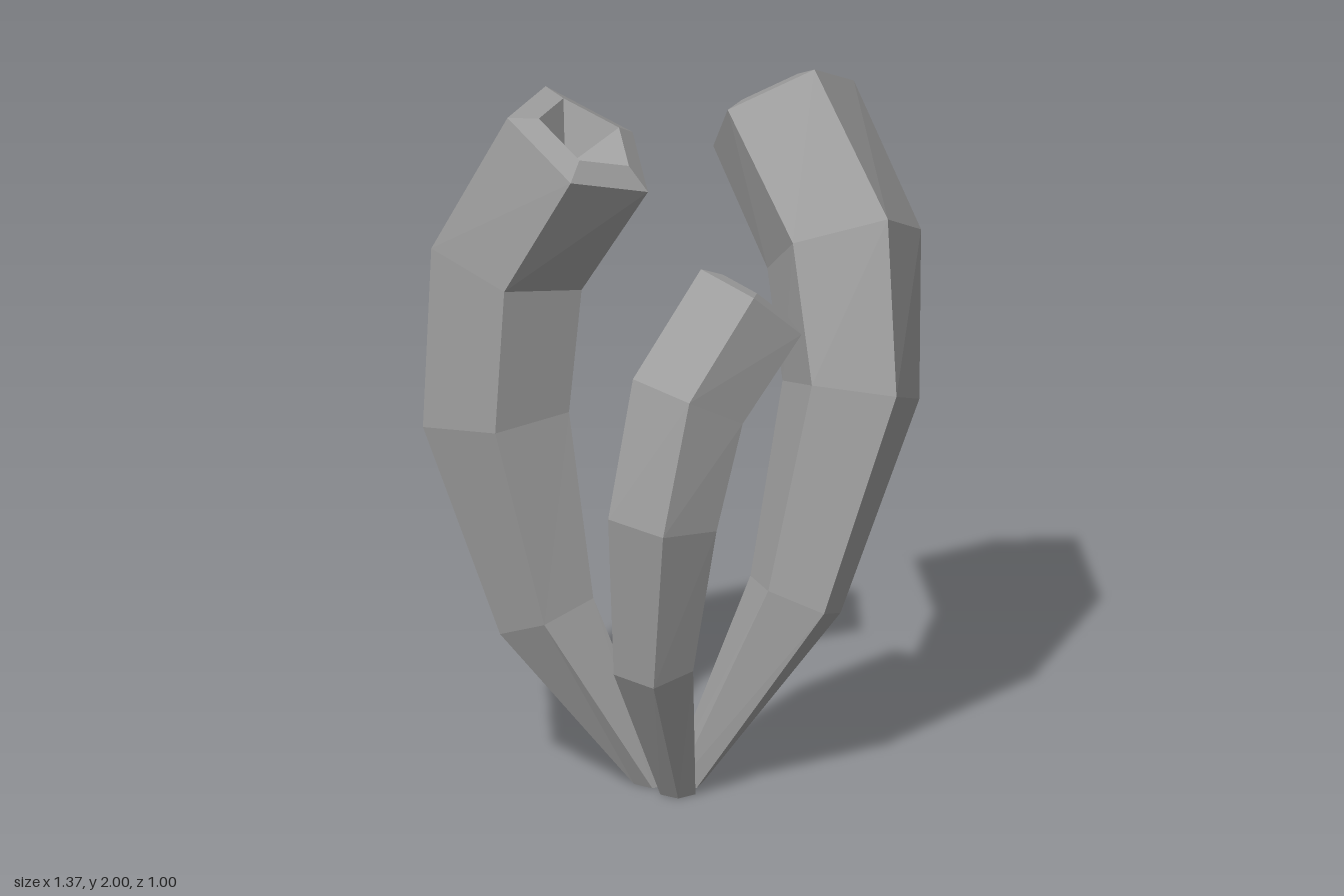
import * as THREE from 'three';

const SIDES = 5;

// Each ring is [x, y, z, radius], from root to mouth.
// ridge: direction of the outer edge that runs along the back of the tube.
const TUBES = [
  {
    name: 'leftTube', ridge: [0, 0, 1],
    rings: [[-0.12, 0, 0.135, 0.053], [0.17, 0.535, 0.263, 0.145], [0.385, 1.1, 0.235, 0.205],
      [0.46, 1.48, 0.088, 0.235], [0.46, 1.804, -0.218, 0.23]],
  },
  {
    name: 'rightBackTube', ridge: [0, 0, -1],
    rings: [[-0.19, 0, 0.072, 0.055], [-0.393, 0.485, -0.152, 0.15], [-0.48, 1.06, -0.28, 0.218],
      [-0.445, 1.515, -0.275, 0.232], [-0.332, 1.896, -0.077, 0.238]],
  },
  {
    name: 'smallFrontTube', ridge: [-1, 0, -0.3],
    rings: [[-0.185, 0, 0.188, 0.052], [-0.345, 0.44, 0.293, 0.118], [-0.357, 0.895, 0.352, 0.162],
      [-0.265, 1.23, 0.345, 0.176], [-0.05, 1.478, 0.35, 0.178]],
  },
];

function tubeGeometry({ rings, ridge }) {
  const centres = rings.map(([x, y, z]) => new THREE.Vector3(x, y, z));
  const hint = new THREE.Vector3(...ridge);
  const last = rings.length - 1;
  const positions = [];
  const index = [];

  const addRing = (centre, normal, radius) => {
    const u = hint.clone().projectOnPlane(normal).normalize();
    const w = normal.clone().cross(u);
    for (let i = 0; i < SIDES; i++) {
      const a = (i / SIDES) * Math.PI * 2;
      const p = centre.clone()
        .addScaledVector(u, radius * Math.cos(a))
        .addScaledVector(w, radius * Math.sin(a));
      positions.push(p.x, p.y, p.z);
    }
  };

  // Body rings, square to the bending centre line; the root lies flat
  let normal = new THREE.Vector3(0, 1, 0);
  rings.forEach((ring, k) => {
    if (k > 0) normal = centres[Math.min(k + 1, last)].clone().sub(centres[k - 1]).normalize();
    addRing(centres[k], normal, ring[3]);
  });

  // Slightly raised inner rim, then the bottom of the mouth pit
  const radius = rings[last][3];
  addRing(centres[last].clone().addScaledVector(normal, radius * 0.13), normal, radius * 0.64);
  const pit = centres[last].clone().addScaledVector(normal, -radius * 0.4);
  positions.push(pit.x, pit.y, pit.z);

  const ringCount = rings.length + 1;
  const pitIndex = ringCount * SIDES;
  for (let i = 0; i < SIDES; i++) {
    const j = (i + 1) % SIDES;
    for (let k = 0; k < ringCount - 1; k++) {
      const a = k * SIDES + i, b = k * SIDES + j;
      index.push(a, b, b + SIDES, a, b + SIDES, a + SIDES);
    }
    index.push(pitIndex - SIDES + i, pitIndex - SIDES + j, pitIndex);
  }
  // Root cap
  for (let i = 1; i < SIDES - 1; i++) index.push(0, i + 1, i);

  const indexed = new THREE.BufferGeometry();
  indexed.setAttribute('position', new THREE.Float32BufferAttribute(positions, 3));
  indexed.setIndex(index);
  const geometry = indexed.toNonIndexed();
  geometry.computeVertexNormals();
  return geometry;
}

export function createModel() {
  const group = new THREE.Group();
  group.name = 'tubeCluster';
  const material = new THREE.MeshStandardMaterial({ color: 0x9e9e9e, flatShading: true });
  for (const tube of TUBES) {
    const mesh = new THREE.Mesh(tubeGeometry(tube), material);
    mesh.name = tube.name;
    group.add(mesh);
  }
  return group;
}
